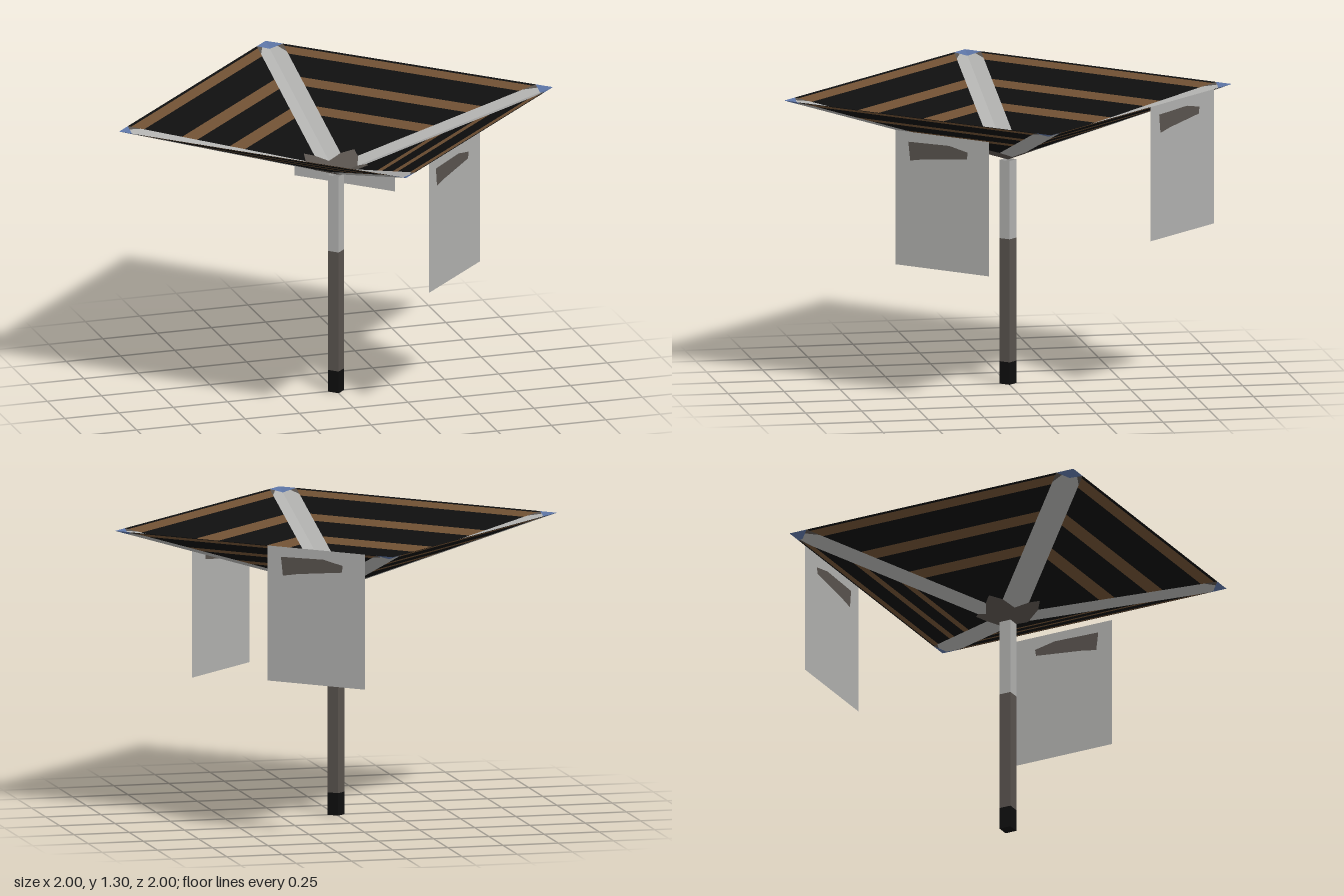
import * as THREE from 'three';
import { mergeGeometries } from 'three/addons/utils/BufferGeometryUtils.js';

const paint = (name, color, flat = true) => {
  const m = new THREE.MeshStandardMaterial({ color, side: THREE.DoubleSide, flatShading: flat });
  m.name = name;
  return m;
};

const polygon = (points) => new THREE.Shape(points.map(([x, y]) => new THREE.Vector2(x, y)));

// Lays a flat polygon on the four sloping faces of the inverted pyramid
function onCanopy(polygons) {
  const parts = [];
  for (const points of polygons) {
    for (let k = 0; k < 4; k++) {
      const g = new THREE.ShapeGeometry(polygon(points));
      const p = g.attributes.position;
      for (let i = 0; i < p.count; i++) {
        const u = p.getX(i), v = p.getY(i);
        p.setXYZ(i, v, 1 + 0.3 * (u + v), u);
      }
      g.rotateY(k * Math.PI / 2);
      g.computeVertexNormals();
      parts.push(g);
    }
  }
  return mergeGeometries(parts);
}

export function createModel() {
  const grey = paint('lightGrey', 0xb0b0ae);
  const taupe = paint('darkTaupe', 0x59534e);
  const black = paint('black', 0x0e0e0e);
  const brown = paint('brown', 0x6e4f32);
  const blue = paint('cornerBlue', 0x5b73a3);

  const model = new THREE.Group();
  const add = (parent, name, geometry, material) => {
    const mesh = new THREE.Mesh(geometry, material);
    mesh.name = name;
    parent.add(mesh);
    return mesh;
  };

  // Square pole with its corners on the axes
  const pole = new THREE.Group();
  pole.name = 'pole';
  model.add(pole);
  for (const [name, y0, y1, mat] of [
    ['poleFoot', 0, 0.1, black], ['poleLower', 0.1, 0.65, taupe], ['poleUpper', 0.65, 1.0, grey],
  ]) {
    const g = new THREE.CylinderGeometry(0.038, 0.038, y1 - y0, 4, 1, name === 'poleUpper');
    add(pole, name, g, mat).position.y = (y0 + y1) / 2;
  }

  // Canopy: striped cloth, ribs along the creases, hub and corner tips
  const canopy = new THREE.Group();
  canopy.name = 'canopy';
  model.add(canopy);
  const w = 0.06; // half width of a rib
  const band = (a, b) => [[a - w, w], [b - w, w], [w, b - w], [w, a - w]];
  const bothWays = (points) => [points, points.map(([u, v]) => [v, u])];

  add(canopy, 'cloth', onCanopy([
    [[0.12, w], [0.46 - w, w], [w, 0.46 - w], [w, 0.12], [0.12, 0.11]],
    band(0.53, 0.68), band(0.75, 0.925), band(0.985, 1),
  ]), black);
  add(canopy, 'clothStripes', onCanopy([band(0.46, 0.53), band(0.68, 0.75), band(0.925, 0.985)]), brown);
  add(canopy, 'ribs', onCanopy(bothWays([[0.1, 0], [0.94, 0], [0.94, 0.035], [0.88, w], [0.12, w]])), grey);
  add(canopy, 'ribEnds', onCanopy(bothWays([[0.94, 0.035], [0.94, w], [0.88, w]])), taupe);
  add(canopy, 'cornerTips', onCanopy(bothWays([[0.94, 0], [1, 0], [0.94, w]])), blue);
  add(canopy, 'hub', onCanopy([[[0, 0], [0.1, 0], [0.12, w], [0.12, 0.11], [w, 0.12], [0, 0.1]]]), taupe);

  // Hanging sheets, each with a dark patch set flush into it
  const patch = [[-0.18, 0.255], [0.037, 0.26], [0.135, 0.24], [0.13, 0.21], [-0.097, 0.185], [-0.17, 0.172]];
  const half = 0.2475;
  for (const [name, x, y, z, turn] of [
    ['frontSheet', 0.425, 0.9, 0.375, Math.PI / 4],
    ['backSheet', 0.275, 1.0, -0.725, 3 * Math.PI / 4],
  ]) {
    const sheet = new THREE.Group();
    sheet.name = name;
    sheet.position.set(x, y, z);
    sheet.rotation.y = turn;
    const outline = polygon([[-half, -0.3], [half, -0.3], [half, 0.3], [-half, 0.3]]);
    outline.holes.push(polygon(patch));
    add(sheet, 'sheetPanel', new THREE.ShapeGeometry(outline), grey);
    add(sheet, 'sheetPatch', new THREE.ShapeGeometry(polygon(patch)), taupe);
    model.add(sheet);
  }

  return model;
}
